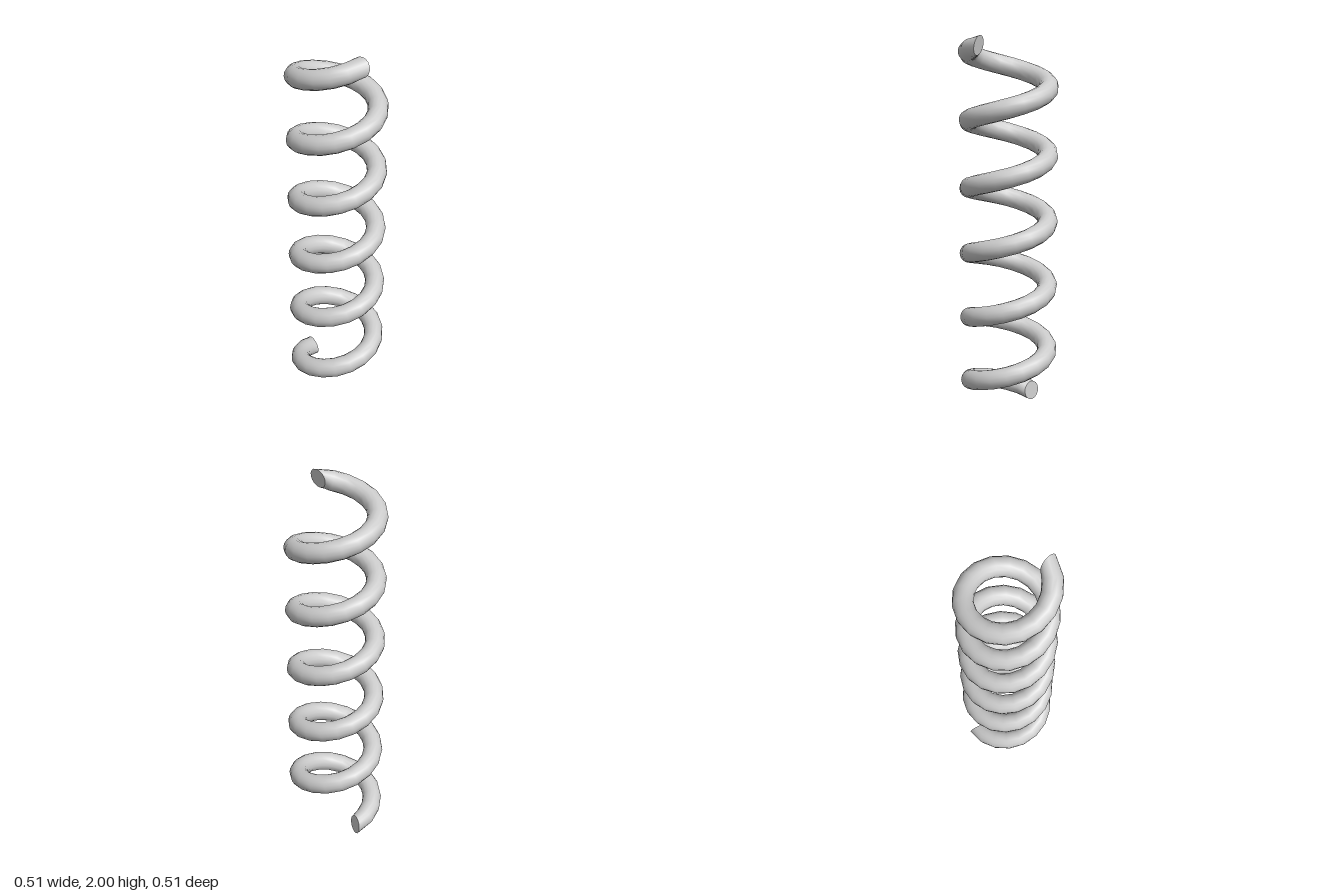
import * as THREE from 'three';

const COIL = 0.204, WIRE = 0.051, TURNS = 5.48, STEPS = 100, SIDES = 16;
const Y0 = 0.052, Y1 = 1.949;

// Helix centre line: starts at the back, passes -x, then the front
function centre(t) {
  const a = 0.02 - t * TURNS * Math.PI * 2;
  return new THREE.Vector3(Math.sin(a) * COIL, Y0 + t * (Y1 - Y0), -Math.cos(a) * COIL);
}

// Ring of points round the wire; the two end cuts are slightly skewed
function ring(i) {
  const t = i / STEPS, c = centre(t);
  let dir = centre(t + 0.0005).sub(centre(t - 0.0005)).normalize();
  if (i === 0) dir = new THREE.Vector3(-1, -0.1, -0.15).normalize();
  if (i === STEPS) dir = new THREE.Vector3(1, -0.17, -0.2).normalize();
  const out = new THREE.Vector3(c.x, 0, c.z).normalize();
  out.addScaledVector(dir, -out.dot(dir)).normalize();
  const up = new THREE.Vector3().crossVectors(dir, out);
  const points = [];
  for (let j = 0; j < SIDES; j++) {
    const a = (j / SIDES) * Math.PI * 2;
    points.push(c.clone().addScaledVector(out, Math.cos(a) * WIRE).addScaledVector(up, Math.sin(a) * WIRE));
  }
  return points;
}

function buildGeometry(points, index) {
  const geometry = new THREE.BufferGeometry().setFromPoints(points);
  geometry.setIndex(index);
  geometry.computeVertexNormals();
  return geometry;
}

export function createModel() {
  const group = new THREE.Group();
  group.name = 'coilSpring';
  const material = new THREE.MeshStandardMaterial({ color: 0xcccccc, side: THREE.DoubleSide });
  const add = (name, geometry) => {
    const mesh = new THREE.Mesh(geometry, material);
    mesh.name = name;
    group.add(mesh);
  };

  // Coiled wire
  const points = [], index = [];
  for (let i = 0; i <= STEPS; i++) points.push(...ring(i));
  for (let i = 0; i < STEPS; i++) {
    for (let j = 0; j < SIDES; j++) {
      const k = (j + 1) % SIDES;
      const a = i * SIDES + j, b = i * SIDES + k;
      index.push(a, b, b + SIDES, a, b + SIDES, a + SIDES);
    }
  }
  add('coil', buildGeometry(points, index));

  // Flat caps on both cut ends
  for (const [name, i] of [['bottomCap', 0], ['topCap', STEPS]]) {
    const fan = [];
    for (let j = 1; j < SIDES - 1; j++) fan.push(0, ...(i ? [j, j + 1] : [j + 1, j]));
    add(name, buildGeometry(ring(i), fan));
  }
  return group;
}
